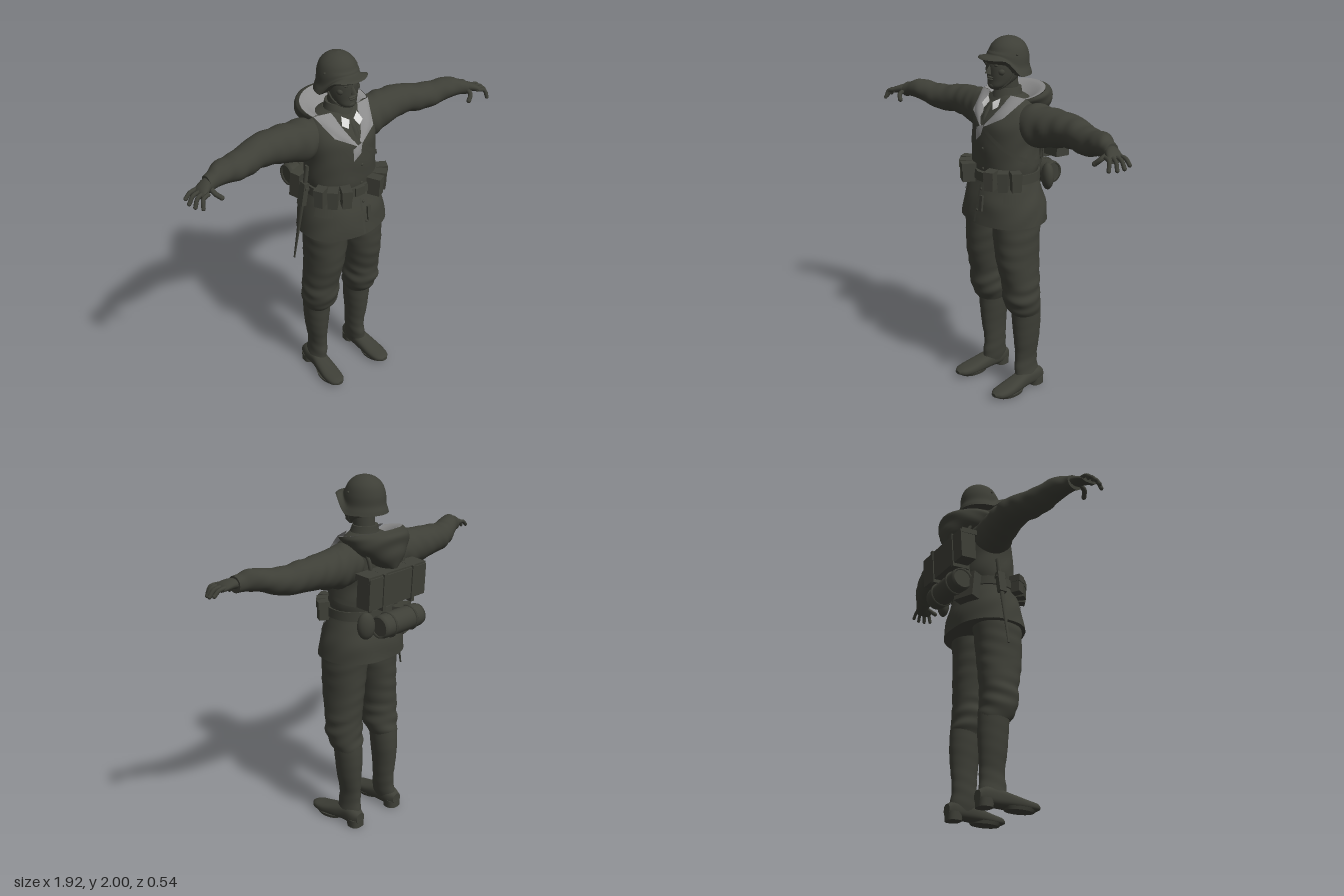
import * as THREE from 'three';

export function createModel() {
  const model = new THREE.Group();
  const mat = (name, color) => new THREE.MeshStandardMaterial({ name, color, side: THREE.DoubleSide });
  const cloth = mat('dark olive', 0x3e3f37);
  const lining = mat('grey lining', 0x8b8b8b);
  const white = mat('pale collar', 0xd8d8d6);

  const add = (name, geo, m = cloth, pos = [0, 0, 0], rot = [0, 0, 0], scale = [1, 1, 1]) => {
    const mesh = new THREE.Mesh(geo, m);
    mesh.name = name;
    mesh.position.set(...pos);
    mesh.rotation.set(...rot);
    mesh.scale.set(...scale);
    model.add(mesh);
    return mesh;
  };
  const box = (name, size, pos, rot) => add(name, new THREE.BoxGeometry(...size), cloth, pos, rot);
  const ball = (name, size, pos, rot) => add(name, new THREE.SphereGeometry(1, 14, 10), cloth, pos, rot, size);

  function build(pos, idx) {
    const g = new THREE.BufferGeometry();
    g.setAttribute('position', new THREE.Float32BufferAttribute(pos, 3));
    g.setIndex(idx);
    g.computeVertexNormals();
    return g;
  }

  // Smooth skin over oval sections [along, centreA, centreB, radiusA, radiusB]
  function loft(secs, { axis = 'y', n = 32, per = 5, e = 2, arc, fold, warp } = {}) {
    const it = new THREE.CubicInterpolant(secs.map((_, i) => i), Float32Array.from(secs.flat()), 5);
    const rows = (secs.length - 1) * per, cols = arc ? n + 1 : n, P = [], I = [];
    const [a0, a1] = arc || [0, Math.PI * 2];
    const put = (s, a, b) => {
      const v = axis === 'y' ? [a, s, b] : axis === 'x' ? [s, a, b] : [a, b, s];
      P.push(...(warp ? warp(v) : v));
    };
    const pw = (c) => Math.sign(c) * Math.abs(c) ** (2 / e);
    for (let r = 0; r <= rows; r++) {
      const [s, ca, cb, ra, rb] = Array.from(it.evaluate(r / per));
      for (let c = 0; c < cols; c++) {
        const th = a0 + (a1 - a0) * c / n, k = 1 + (fold ? fold(s, th) : 0);
        put(s, ca + ra * k * pw(Math.cos(th)), cb + rb * k * pw(Math.sin(th)));
      }
    }
    for (let r = 0; r < rows; r++) for (let c = 0; c < n; c++) {
      const d = (c + 1) % cols, a = r * cols + c, b = r * cols + d;
      I.push(a, a + cols, b, b, a + cols, b + cols);
    }
    if (!arc) [0, rows].forEach((r) => {
      const start = P.length / 3, sec = secs[r ? secs.length - 1 : 0];
      P.push(...P.slice(r * n * 3, (r + 1) * n * 3));
      put(sec[0], sec[1], sec[2]);
      for (let c = 0; c < n; c++) {
        const a = start + c, b = start + (c + 1) % n;
        I.push(start + n, ...(r ? [b, a] : [a, b]));
      }
    });
    // Turn the faces outward
    const v = (i) => new THREE.Vector3().fromArray(P, i * 3);
    let vol = 0;
    for (let i = 0; i < I.length; i += 3) vol += v(I[i]).dot(v(I[i + 1]).cross(v(I[i + 2])));
    return build(P, vol < 0 ? I.reverse() : I);
  }

  // Curved four-cornered cloth patch
  function patch(A, B, C, D, bulge = 0, n = 8) {
    const P = [], I = [], mix = (p, q, t) => p.map((x, i) => x + (q[i] - x) * t);
    for (let i = 0; i <= n; i++) for (let j = 0; j <= n; j++) {
      const u = i / n, w = j / n, p = mix(mix(A, B, u), mix(D, C, u), w);
      p[2] += bulge * 16 * u * (1 - u) * w * (1 - w);
      P.push(...p);
      if (i < n && j < n) { const a = i * (n + 1) + j; I.push(a, a + 1, a + n + 1, a + 1, a + n + 2, a + n + 1); }
    }
    return build(P, I);
  }

  function tube(name, pts, r, m = cloth) {
    const curve = new THREE.CatmullRomCurve3(pts.map((p) => new THREE.Vector3(...p)));
    add(name, new THREE.TubeGeometry(curve, 14, r, 8), m);
    ball(name + 'Tip', [r, r, r], pts[pts.length - 1]);
  }

  // Jacket
  const torso = [[1.02, 0, .05, .255, .205], [1.12, 0, .048, .24, .195], [1.2, 0, .045, .215, .172],
    [1.27, 0, .045, .193, .15], [1.34, 0, .042, .2, .158], [1.45, 0, .04, .193, .16], [1.55, 0, .03, .2, .16],
    [1.62, 0, .01, .188, .142], [1.67, 0, .012, .135, .105], [1.7, 0, .022, .08, .075]];
  add('jacket', loft(torso, {
    n: 48, e: 2.2,
    fold: (y, t) => .014 * Math.sin(y * 38 + 3 * Math.sin(t * 2)) * Math.sin(t * 3 + y * 9)
  }));
  // Point on the jacket at an angle and height
  function onTorso(t, y, off) {
    let i = 0;
    while (i < torso.length - 2 && torso[i + 1][0] < y) i++;
    const k = (y - torso[i][0]) / (torso[i + 1][0] - torso[i][0]);
    const [, , cz, rx, rz] = torso[i].map((a, j) => a + (torso[i + 1][j] - a) * k);
    return [(rx + off) * Math.cos(t), y, cz + (rz + off) * Math.sin(t)];
  }
  // Flat band that follows the jacket through [angle in degrees, height] points
  function band(name, pts, half, off = .013) {
    const P = [], I = [], n = 40;
    const c = new THREE.CatmullRomCurve3(pts.map(([t, y]) => new THREE.Vector3(t * Math.PI / 180, y, 0)));
    for (let i = 0; i <= n; i++) {
      const q = c.getPoint(i / n);
      P.push(...onTorso(q.x, q.y + half, off), ...onTorso(q.x, q.y - half, off));
      if (i < n) I.push(2 * i, 2 * i + 2, 2 * i + 1, 2 * i + 1, 2 * i + 2, 2 * i + 3);
    }
    add(name, build(P, I));
  }
  band('chestStrap', [[100, 1.6], [88, 1.55], [55, 1.46], [15, 1.385], [-30, 1.35], [-75, 1.33]], .013);
  band('placket', [[88, 1.13], [91, 1.13]], .1, .008);
  [[20, 48], [132, 160]].forEach(([a, b]) => band('pocketFlap', [[a, 1.18], [b, 1.18]], .025, .012));
  box('frontTab', [.022, .085, .012], [.04, 1.14, .243], [-.1, 0, 0]);
  for (let i = 0; i < 4; i++) ball('button', [.008, .008, .005], onTorso(1.5, 1.1 + i * .11, .01));

  // Belt and ammunition pouches
  add('belt', loft([[1.25, 0, .045, .207, .166], [1.3, 0, .045, .205, .164]], { n: 40, per: 1, e: 2.2 }));
  box('buckle', [.06, .05, .014], [0, 1.275, .212]);
  for (const s of [1, -1]) [64, 46, 28].forEach((d) => {
    const t = d * Math.PI / 180, p = [s * .222 * Math.cos(t), 1.275, .045 + .195 * Math.sin(t)];
    const turn = [0, s * (Math.PI / 2 - t), 0];
    box('ammoPouch', [.05, .095, .07], p, turn);
    box('pouchFlap', [.055, .04, .078], [p[0], 1.31, p[2]], turn);
  });

  // Neck, collar and head
  add('neck', loft([[1.62, 0, .02, .062, .062], [1.7, 0, .026, .057, .06], [1.79, 0, .035, .057, .065]]));
  add('collar', loft([[1.66, 0, .027, .092, .09], [1.7, 0, .025, .078, .078], [1.735, 0, .02, .068, .068]]));
  add('head', loft([[1.733, 0, .105, .026, .026], [1.75, 0, .09, .05, .052], [1.78, 0, .062, .067, .08],
    [1.82, 0, .05, .077, .095], [1.87, 0, .04, .081, .105], [1.93, 0, .03, .074, .095]], { e: 2.2 }));
  add('nose', new THREE.ConeGeometry(.021, .055, 4), cloth, [0, 1.842, .147], [-.28, Math.PI, 0], [.9, 1, 1.2]);
  ball('chin', [.026, .018, .018], [0, 1.752, .128]);
  ball('upperLip', [.024, .006, .011], [0, 1.797, .143]);
  ball('lowerLip', [.021, .007, .011], [0, 1.786, .142]);
  for (const s of [1, -1]) {
    ball('brow', [.027, .008, .013], [s * .034, 1.879, .134], [0, s * .35, 0]);
    ball('eye', [.015, .008, .009], [s * .034, 1.862, .133]);
    ball('cheek', [.02, .02, .02], [s * .05, 1.828, .108]);
    ball('ear', [.01, .028, .017], [s * .081, 1.832, .03]);
    tube('chinStrap', [[s * .09, 1.83, .05], [s * .072, 1.775, .075], [s * .035, 1.738, .1], [0, 1.73, .115]], .005);
  }

  // Helmet with its rim raised over the face
  add('helmet', loft([[1.803, 0, .042, .131, .148], [1.822, 0, .032, .121, .134], [1.85, 0, .023, .109, .117],
    [1.9, 0, .02, .104, .112], [1.95, 0, .02, .087, .095], [1.985, 0, .02, .05, .056], [2, 0, .02, .003, .003]], {
    n: 40,
    warp: ([x, y, z]) => [x, y + .09 * THREE.MathUtils.smoothstep(z, .03, .14) * THREE.MathUtils.clamp((1.93 - y) / .12, 0, 1), z]
  }));
  for (const s of [1, -1]) ball('rivet', [.006, .006, .006], [s * .1, 1.915, .045]);

  // Hood lying open on the back, its lining and the folded lapels
  const arc = [-3.5, .36], warp = ([x, y, z]) => [x, y - .2 * z, z];
  add('hood', loft([[1.49, 0, -.17, .02, .03], [1.55, 0, -.13, .1, .09], [1.62, 0, -.09, .165, .13],
    [1.675, 0, -.045, .19, .17], [1.705, 0, -.012, .185, .16]], {
    arc, warp, n: 36, fold: (y, t) => .02 * Math.sin(y * 70 + 2 * Math.cos(t * 2))
  }));
  add('hoodLining', loft([[1.706, 0, -.012, .185, .16], [1.698, 0, -.01, .15, .13],
    [1.665, 0, .01, .1, .09], [1.64, 0, .02, .06, .06]], { arc, warp, n: 36 }), lining);
  for (const s of [1, -1]) {
    add('lapel', patch([s * .175, 1.7, .05], [s * .085, 1.705, .075], [s * .005, 1.54, .207], [s * .125, 1.605, .16], .022), lining);
    add('shirtCollar', patch([s * .012, 1.668, .137], [s * .05, 1.69, .115], [s * .066, 1.652, .145], [s * .035, 1.632, .158]), white);
  }
  add('lapelFold', patch([-.04, 1.535, .206], [.02, 1.56, .204], [.004, 1.5, .213], [-.04, 1.465, .211], .004), lining);
  add('tie', patch([-.014, 1.67, .135], [.014, 1.67, .135], [.014, 1.58, .196], [-.014, 1.58, .196], .01));

  for (const s of [1, -1]) {
    // Sleeves
    add('sleeve', loft([[s * .08, 1.575, 0, .085, .09], [s * .2, 1.556, -.005, .113, .105], [s * .3, 1.56, -.02, .103, .098],
      [s * .45, 1.57, -.028, .084, .088], [s * .6, 1.56, .008, .072, .08], [s * .7, 1.58, .042, .061, .068],
      [s * .76, 1.59, .065, .055, .058], [s * .8, 1.582, .08, .045, .047], [s * .83, 1.577, .092, .043, .045]], {
      axis: 'x', per: 8,
      fold: (x, t) => .045 * Math.sin(Math.abs(x) * 62 + 2 * Math.sin(t + 1)) * Math.sin(t * 1.5 + x * s * 8) ** 2
    }));
    // Hands
    add('palm', loft([[s * .8, 1.577, .083, .028, .034], [s * .84, 1.583, .102, .026, .042],
      [s * .88, 1.572, .122, .021, .05], [s * .9, 1.562, .13, .014, .046]], { axis: 'x', n: 18 }));
    [[.95, 1.545, .095, .09], [.952, 1.535, .13, .118], [.94, 1.53, .165, .143], [.915, 1.528, .195, .167]].forEach(([x, y, z, z0]) =>
      tube('finger', [[s * .865, 1.575, z0], [s * (x * .55 + .4), 1.568, (z + z0) / 2], [s * x, y, z]], .0105));
    tube('thumb', [[s * .83, 1.572, .12], [s * .825, 1.555, .155], [s * .8, 1.53, .17]], .013);

    // Trousers, bunched above the boots
    add('trouserLeg', loft([[1.06, s * .115, .06, .113, .14], [.95, s * .119, .065, .113, .133], [.8, s * .13, .064, .102, .125],
      [.66, s * .142, .052, .098, .106], [.58, s * .143, .05, .1, .105], [.52, s * .145, .036, .092, .098],
      [.475, s * .146, .022, .074, .085]], {
      per: 8, e: 2.15,
      fold: (y, t) => (y < .68 ? .045 : .018) * Math.sin(y * 75 + 2.5 * Math.sin(t + s)) * Math.cos(t + y * 10)
    }));
    // Boots
    add('bootShaft', loft([[.5, s * .146, .018, .077, .086], [.4, s * .145, .012, .069, .086], [.3, s * .145, .01, .058, .08],
      [.2, s * .139, .008, .047, .072], [.12, s * .142, .01, .046, .077], [.05, s * .152, .002, .046, .084]], {
      fold: (y, t) => (y < .25 ? .02 : .008) * Math.sin(y * 90 + 2 * Math.sin(t))
    }));
    add('bootFoot', loft([[-.088, s * .154, .055, .03, .032], [-.04, s * .153, .06, .046, .05], [.03, s * .153, .058, .046, .048],
      [.1, s * .159, .048, .051, .04], [.18, s * .165, .037, .054, .031], [.24, s * .167, .035, .044, .022],
      [.27, s * .167, .036, .018, .01]], { axis: 'z', e: 2.5 }));
    add('bootHeel', loft([[0, s * .154, -.048, .045, .042], [.045, s * .154, -.046, .046, .045]], { per: 1, e: 2.6 }));
    add('bootSole', loft([[.004, s * .165, .15, .05, .085], [.022, s * .165, .155, .055, .1]], { per: 1 }));
  }

  // Box pack, straps and bedroll
  box('pack', [.43, .17, .09], [.005, 1.445, -.178], [-.06, 0, 0]);
  box('packLid', [.436, .03, .096], [.005, 1.525, -.172], [-.06, 0, 0]);
  for (const s of [1, -1]) {
    box('packStrap', [.022, .2, .106], [s * .11, 1.44, -.176], [-.06, 0, 0]);
    tube('shoulderStrap', [[s * .1, 1.3, -.11], [s * .12, 1.5, -.14], [s * .13, 1.62, -.115], [s * .13, 1.66, -.04]], .011);
    add('rollStrap', new THREE.TorusGeometry(.064, .007, 6, 24), cloth, [s * .08 - .03, 1.24, -.195], [0, Math.PI / 2, 0]);
  }
  add('bedroll', loft([[-.175, 1.24, -.195, .05, .05], [-.165, 1.24, -.195, .063, .063],
    [.105, 1.24, -.195, .063, .063], [.115, 1.24, -.195, .05, .05]], { axis: 'x', per: 2 }));
  box('haversack', [.13, .15, .06], [-.13, 1.22, -.135], [.1, .35, 0]);
  ball('canteen', [.05, .075, .035], [.15, 1.24, -.13], [0, -.5, 0]);

  // Bayonet hanging at the right hip
  const tilt = [0, 0, -.175];
  add('scabbard', new THREE.CylinderGeometry(.017, .006, .36, 8), cloth, [-.263, 1.04, .02], tilt, [.6, 1, 1]);
  box('frog', [.03, .13, .045], [-.228, 1.25, .02], tilt);
  add('bayonetGrip', new THREE.CylinderGeometry(.014, .012, .13, 8), cloth, [-.207, 1.345, .02], tilt);
  box('crossguard', [.022, .012, .06], [-.218, 1.285, .02], tilt);
  return model;
}
